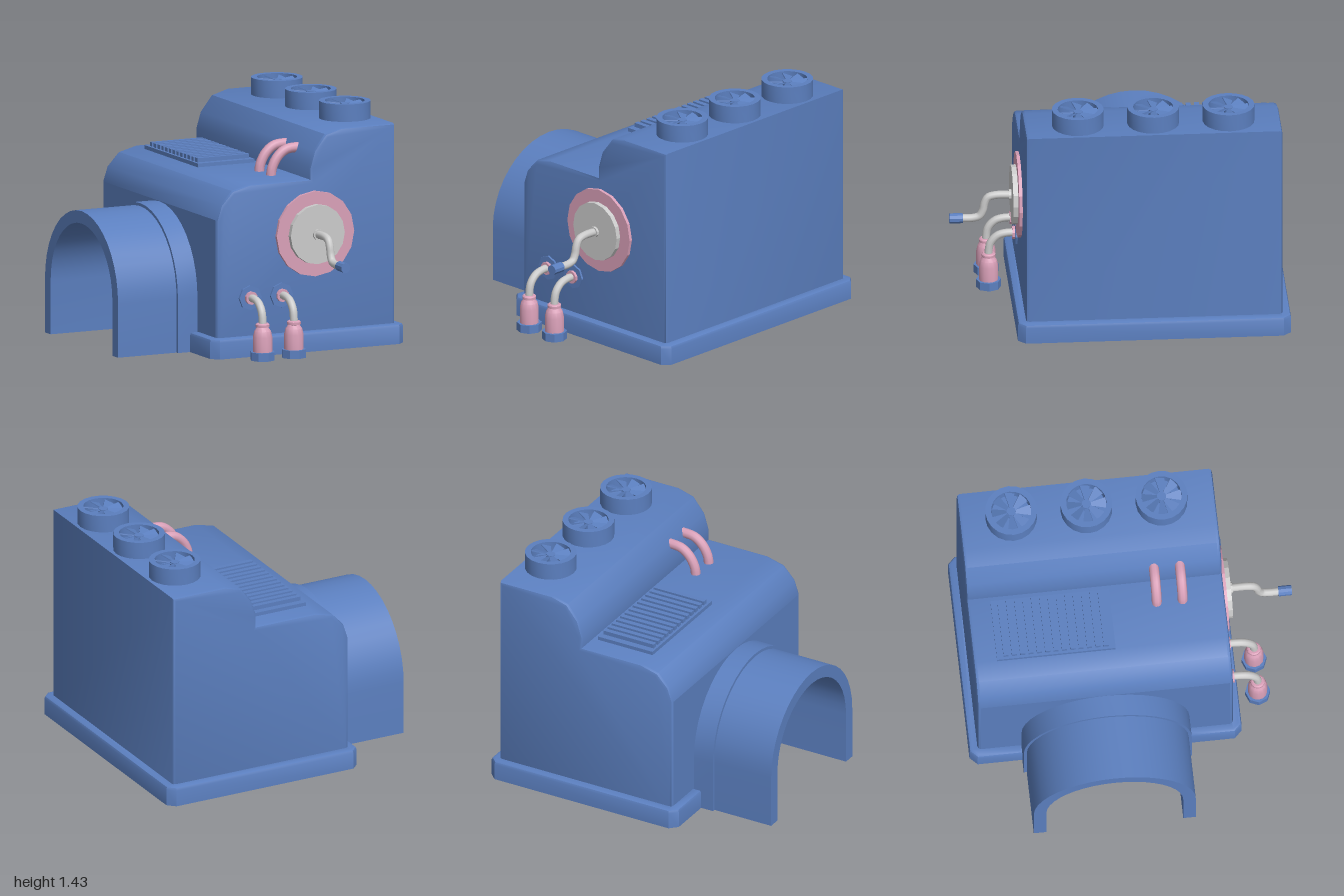
import * as THREE from 'three';
import { toCreasedNormals } from 'three/addons/utils/BufferGeometryUtils.js';

const blue = new THREE.MeshStandardMaterial({ color: 0x5b7fbf });
const blueThin = new THREE.MeshStandardMaterial({ color: 0x5b7fbf, side: THREE.DoubleSide });
const pink = new THREE.MeshStandardMaterial({ color: 0xd9a0b8 });
const grey = new THREE.MeshStandardMaterial({ color: 0xcccccc });

const ARCH_Z = -0.185, SPRING_Y = 0.325;
const v3 = (x, y, z) => new THREE.Vector3(x, y, z);
const shapeOf = (pts) => new THREE.Shape(pts.map(([x, y]) => new THREE.Vector2(x, y)));

function add(parent, name, geometry, material, x = 0, y = 0, z = 0) {
  const mesh = new THREE.Mesh(geometry, material);
  mesh.name = name;
  mesh.position.set(x, y, z);
  parent.add(mesh);
  return mesh;
}

const creased = (geometry, angle = 0.6) => toCreasedNormals(geometry, angle);
const lathe = (pts, sides) =>
  creased(new THREE.LatheGeometry(pts.map(([r, y]) => new THREE.Vector2(r, y)), sides));
const disc = (r, depth, sides) =>
  creased(new THREE.CylinderGeometry(r, r, depth, sides).rotateX(Math.PI / 2), 0.3);

// Points over an arch of radius r, from the -z foot to the +z foot
function archPoints(r, bottom = 0) {
  const pts = [[ARCH_Z - r, bottom]];
  for (let i = 0; i <= 20; i++) {
    const a = Math.PI * (1 - i / 20);
    pts.push([ARCH_Z + r * Math.cos(a), SPRING_Y + r * Math.sin(a)]);
  }
  pts.push([ARCH_Z + r, bottom]);
  return pts;
}

// Arched band running along -x
function archBand(outer, inner, length) {
  const shape = shapeOf([...archPoints(outer), ...archPoints(inner).reverse()]);
  const g = new THREE.ExtrudeGeometry(shape, { depth: length, bevelEnabled: false });
  return creased(g.rotateY(-Math.PI / 2));
}

// Drop the triangles for which every corner passes the test
function removeFaces(geometry, test) {
  const p = geometry.attributes.position, kept = [];
  for (let i = 0; i < p.count; i += 3) {
    const tri = [0, 1, 2].map((k) => v3().fromBufferAttribute(p, i + k));
    if (!test(tri)) tri.forEach((v) => kept.push(v.x, v.y, v.z));
  }
  const g = new THREE.BufferGeometry();
  g.setAttribute('position', new THREE.Float32BufferAttribute(kept, 3));
  return g;
}

function buildBody(parent) {
  const body = new THREE.Group();
  body.name = 'body';
  parent.add(body);

  // Stepped housing, without its floor and tunnel-side wall
  const profile = shapeOf([
    [-0.36, 0.06], [0.825, 0.06], [0.825, 1.325], [0.47, 1.325], [0.365, 1.295], [0.29, 1.2],
    [0.26, 1.1], [0.26, 1.03], [-0.14, 1.03], [-0.255, 1.0], [-0.33, 0.92], [-0.36, 0.83],
  ]);
  const shell = new THREE.ExtrudeGeometry(profile, {
    depth: 1.49, bevelEnabled: true, bevelThickness: 0.02, bevelSize: 0.02, bevelOffset: -0.02, bevelSegments: 2,
  });
  const open = removeFaces(shell, (t) => t.every((v) => v.x < -0.359) || t.every((v) => v.y < 0.061));
  add(body, 'housing', creased(open), blueThin, 0, 0, -0.93);

  // Wall with the tunnel opening, the notched floor and the wall closing the tunnel
  const wall = shapeOf([[-0.93, 0.06], ...archPoints(0.45, 0.06), [0.56, 0.06], [0.56, 0.83], [-0.93, 0.83]]);
  add(body, 'tunnelWall', new THREE.ShapeGeometry(wall).rotateY(-Math.PI / 2), blueThin, -0.36);
  const floor = shapeOf([
    [-0.36, -0.94], [0.81, -0.94], [0.81, 0.57], [-0.36, 0.57],
    [-0.36, 0.28], [0.45, 0.28], [0.45, -0.65], [-0.36, -0.65],
  ]);
  add(body, 'floor', new THREE.ShapeGeometry(floor).rotateX(Math.PI / 2), blueThin, 0, 0.06);
  add(body, 'tunnelEnd', new THREE.ShapeGeometry(shapeOf(archPoints(0.43))).rotateY(-Math.PI / 2), blueThin, 0.44);
}

// Skirting frame around the foot, left open for the tunnel
function buildBase(parent) {
  const outline = shapeOf([
    [-0.41, 0.31], [-0.41, 0.585], [-0.365, 0.63], [0.83, 0.63], [0.875, 0.585], [0.875, -0.955],
    [0.83, -1], [-0.365, -1], [-0.41, -0.955], [-0.41, -0.68], [-0.33, -0.68], [-0.33, -0.92],
    [0.795, -0.92], [0.795, 0.55], [-0.33, 0.55], [-0.33, 0.31],
  ]);
  const g = new THREE.ExtrudeGeometry(outline, {
    depth: 0.1, bevelEnabled: true, bevelThickness: 0.02, bevelSize: 0.02, bevelOffset: -0.02, bevelSegments: 2,
  }).rotateX(Math.PI / 2).translate(0, 0.1, 0);
  const p = g.attributes.position;
  for (let i = 0; i < p.count; i++) p.setY(i, Math.max(0, p.getY(i)));
  add(parent, 'baseFrame', creased(g), blue);
}

// Round fan stack with eight pitched blades
function buildFan(parent, z) {
  const fan = new THREE.Group();
  fan.name = 'fan';
  fan.position.set(0.65, 1.32, z);
  parent.add(fan);
  add(fan, 'fanHousing', lathe([[0.155, 0], [0.155, 0.11], [0.12, 0.11], [0.12, 0.04], [0, 0.04]], 20), blueThin);
  add(fan, 'fanHub', creased(new THREE.CylinderGeometry(0.028, 0.028, 0.05, 12)), blue, 0, 0.07);
  const blade = shapeOf([[0.02, -0.009], [0.118, -0.032], [0.118, 0.032], [0.02, 0.009]]);
  for (let i = 0; i < 8; i++) {
    const g = new THREE.ExtrudeGeometry(blade, { depth: 0.006, bevelEnabled: false })
      .rotateX(-Math.PI / 2 + 0.35).rotateY((i * Math.PI) / 4);
    add(fan, 'fanBlade', g, blue, 0, 0.085);
  }
}

// Slatted vent on the lower roof
function buildVent(parent) {
  const vent = new THREE.Group();
  vent.name = 'vent';
  parent.add(vent);
  add(vent, 'ventPlate', new THREE.BoxGeometry(0.375, 0.03, 0.71), blue, 0.042, 1.037, -0.455);
  for (let i = 0; i < 13; i++) {
    add(vent, 'ventSlat', new THREE.BoxGeometry(0.345, 0.026, 0.03), blue, 0.042, 1.064, -0.755 + i * 0.05);
  }
}

// Wall outlet with a bent pipe going down into a bottle-shaped fitting
function buildOutlet(parent, x) {
  const outlet = new THREE.Group();
  outlet.name = 'outlet';
  outlet.position.x = x;
  parent.add(outlet);
  add(outlet, 'outletPlate', disc(0.075, 0.02, 8), blue, 0, 0.35, 0.583);
  add(outlet, 'outletRing', disc(0.04, 0.03, 10), pink, 0, 0.35, 0.594);
  const path = new THREE.CatmullRomCurve3([
    v3(0, 0.35, 0.58), v3(0, 0.35, 0.64), v3(0, 0.335, 0.695), v3(0, 0.29, 0.737), v3(0, 0.23, 0.75), v3(0, 0.18, 0.75),
  ]);
  add(outlet, 'outletPipe', new THREE.TubeGeometry(path, 16, 0.024, 10), grey);
  add(outlet, 'fitting', lathe([
    [0, 0.03], [0.058, 0.03], [0.058, 0.14], [0.05, 0.175], [0.034, 0.198], [0.042, 0.2],
    [0.042, 0.215], [0.034, 0.222], [0.022, 0.222],
  ], 12), pink, 0, 0, 0.75);
  add(outlet, 'fittingFoot', lathe([
    [0.05, 0], [0.075, 0], [0.075, 0.05], [0.05, 0.05], [0.05, 0],
  ], 8), blue, 0, 0, 0.75);
}

// Round front hatch with its crank
function buildCrank(parent) {
  const crank = new THREE.Group();
  crank.name = 'crank';
  crank.position.set(0.285, 0.705, 0);
  parent.add(crank);
  add(crank, 'hatchRing', disc(0.258, 0.03, 16), pink, 0, 0, 0.585);
  add(crank, 'hatchPlate', disc(0.18, 0.05, 16), grey, 0, 0, 0.605);
  add(crank, 'crankCollar', disc(0.033, 0.02, 10), grey, 0, 0, 0.635);
  const path = new THREE.CatmullRomCurve3([
    v3(0, 0, 0.62), v3(0, 0, 0.73), v3(0, -0.013, 0.77), v3(0, -0.05, 0.79),
    v3(0, -0.095, 0.8), v3(0, -0.132, 0.82), v3(0, -0.145, 0.86), v3(0, -0.145, 0.94),
  ]);
  add(crank, 'crankArm', new THREE.TubeGeometry(path, 28, 0.024, 10), grey);
  add(crank, 'crankGrip', disc(0.031, 0.08, 10), blue, 0, -0.145, 0.96);
}

export function createModel() {
  const model = new THREE.Group();
  model.name = 'machine';

  buildBase(model);
  buildBody(model);

  // Tunnel and its collar
  add(model, 'tunnel', archBand(0.485, 0.41, 1.33), blue, 0.45);
  add(model, 'tunnelCollar', archBand(0.503, 0.45, 0.15), blue, -0.34);

  for (const z of [-0.64, -0.19, 0.26]) buildFan(model, z);
  buildVent(model);

  // Bent roof pipes
  for (const z of [0.175, 0.33]) {
    const path = new THREE.CatmullRomCurve3([
      v3(0.122, 1.01, z), v3(0.13, 1.07, z), v3(0.165, 1.135, z), v3(0.22, 1.177, z), v3(0.31, 1.187, z),
    ]);
    add(model, 'roofPipe', new THREE.TubeGeometry(path, 14, 0.03, 10), pink);
  }

  for (const x of [-0.143, 0.065]) buildOutlet(model, x);
  buildCrank(model);
  return model;
}
